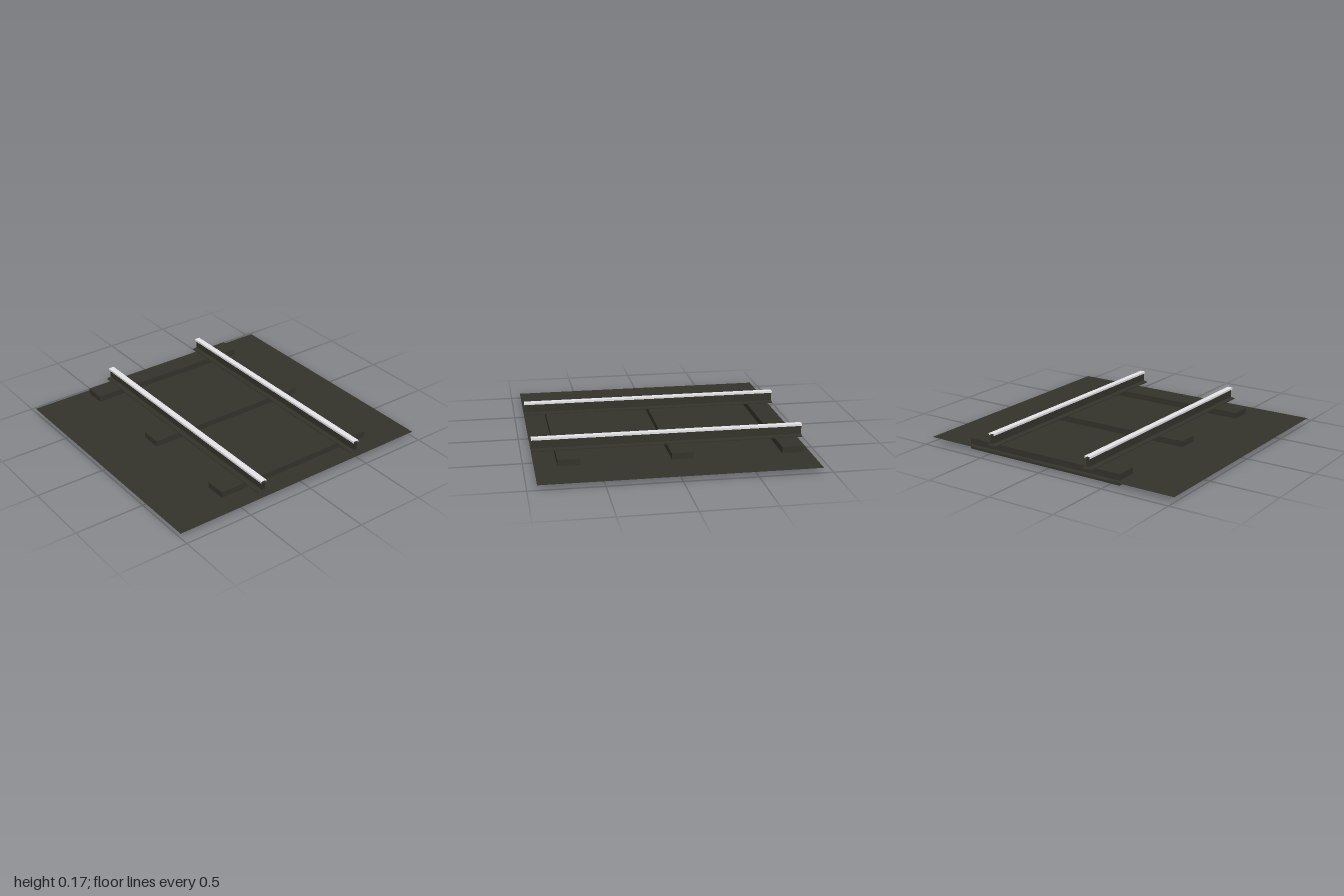
import * as THREE from 'three';

const HALF_LENGTH = 0.934;

// Open-ended sweep along z of a counter-clockwise (x, y) profile
function sweep(points) {
  const positions = [];
  for (let i = 0; i < points.length - 1; i++) {
    const [ax, ay] = points[i];
    const [bx, by] = points[i + 1];
    const a0 = [ax, ay, -HALF_LENGTH], a1 = [ax, ay, HALF_LENGTH];
    const b0 = [bx, by, -HALF_LENGTH], b1 = [bx, by, HALF_LENGTH];
    positions.push(...a0, ...b0, ...b1, ...a0, ...b1, ...a1);
  }
  const geometry = new THREE.BufferGeometry();
  geometry.setAttribute('position', new THREE.Float32BufferAttribute(positions, 3));
  geometry.computeVertexNormals();
  return geometry;
}

// Box without its bottom face
function openBox(width, height, depth) {
  const box = new THREE.BoxGeometry(width, height, depth);
  box.setIndex(Array.from(box.index.array).filter((_, i) => i < 18 || i >= 24));
  box.clearGroups();
  return box;
}

export function createModel() {
  const darkEarth = new THREE.MeshStandardMaterial({ color: 0x33322a, side: THREE.DoubleSide });
  darkEarth.name = 'dark earth';
  const polishedSteel = new THREE.MeshStandardMaterial({ color: 0xe4e4e6, side: THREE.DoubleSide });
  polishedSteel.name = 'polished steel';

  const model = new THREE.Group();
  model.name = 'railTrack';
  const add = (parent, name, geometry, material, x = 0, y = 0, z = 0) => {
    const mesh = new THREE.Mesh(geometry, material);
    mesh.name = name;
    mesh.position.set(x, y, z);
    parent.add(mesh);
  };

  // Flat ground sheet, halfway up the sleepers
  const ground = new THREE.PlaneGeometry(2, 2 * HALF_LENGTH).rotateX(-Math.PI / 2);
  add(model, 'ground', ground, darkEarth, 0, 0.035, 0);

  // Hollow sleepers sunk through the ground, slightly off centre
  const sleeper = openBox(1.248, 0.078, 0.15);
  for (const z of [-0.815, -0.057, 0.704]) add(model, 'sleeper', sleeper, darkEarth, 0.057, 0.039, z);

  // Rail: foot and web in dark iron, head in polished steel
  const footRight = [[0.04, 0.077], [0.04, 0.083], [0.008, 0.09], [0.008, 0.146], [0.021, 0.15]];
  const mirror = (points) => points.map(([x, y]) => [-x, y]).reverse();
  const body = sweep([...mirror(footRight), ...footRight, [-0.04, 0.077]].slice(0, -1));
  const headRight = [[0.021, 0.15], [0.021, 0.165]];
  const head = sweep([...headRight, ...mirror(headRight)]);

  for (const x of [-0.344, 0.455]) {
    const rail = new THREE.Group();
    rail.name = x > 0 ? 'leftRail' : 'rightRail';
    rail.position.x = x;
    add(rail, 'railBody', body, darkEarth);
    add(rail, 'railHead', head, polishedSteel);
    model.add(rail);
  }
  return model;
}
